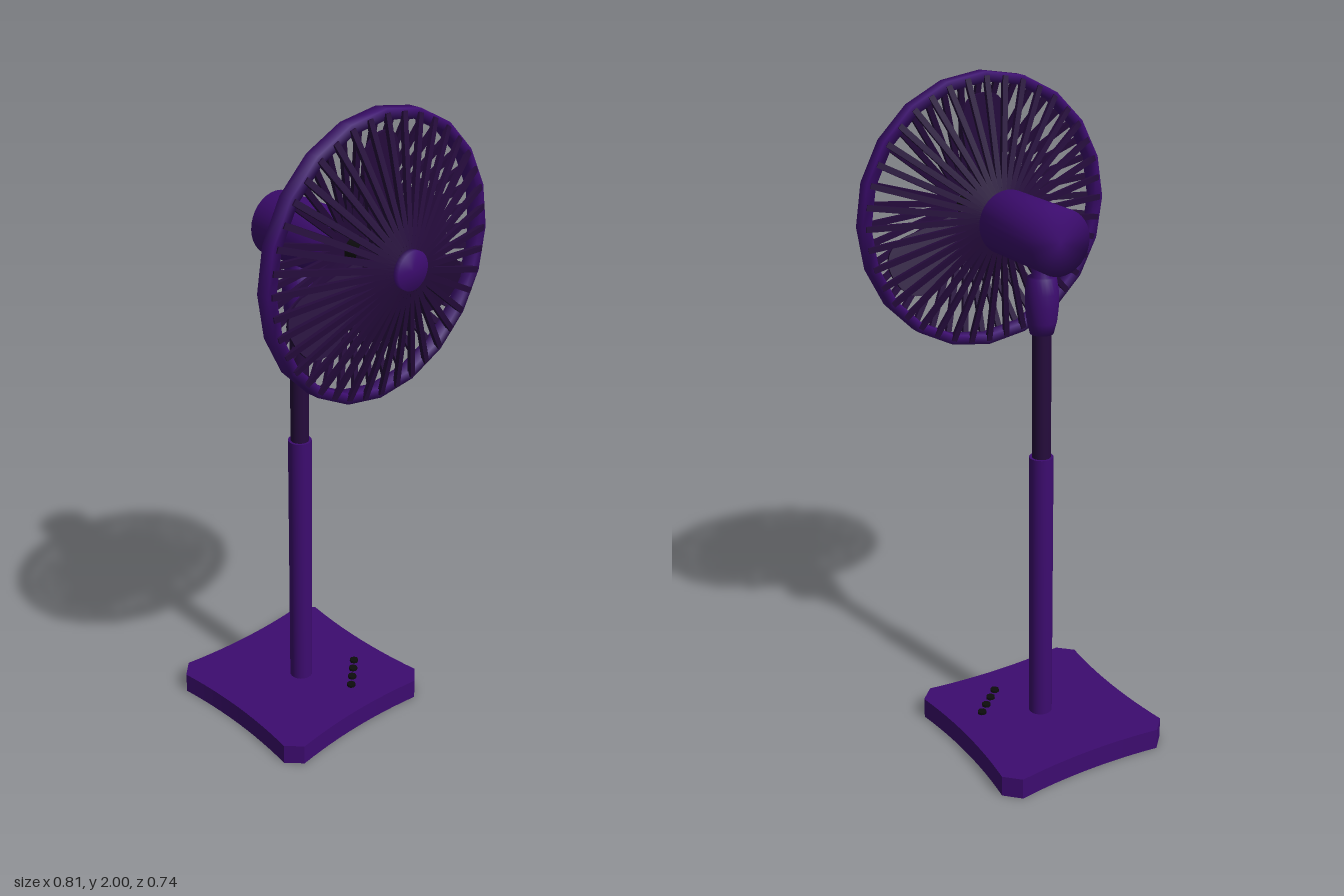
import * as THREE from 'three';
import { mergeGeometries, mergeVertices } from 'three/addons/utils/BufferGeometryUtils.js';

const V = (x, y) => new THREE.Vector2(x, y);

// Shares vertices across edges so the shading runs softly over them
function soften(geometry) {
  geometry.deleteAttribute('normal');
  geometry.deleteAttribute('uv');
  const g = mergeVertices(geometry, 1e-4);
  g.computeVertexNormals();
  return g;
}

export function createModel() {
  const purple = new THREE.MeshStandardMaterial({ color: 0x3d0c70 });
  purple.name = 'purple';
  const darkPurple = new THREE.MeshStandardMaterial({ color: 0x250b3c });
  darkPurple.name = 'darkPurple';
  const black = new THREE.MeshStandardMaterial({ color: 0x0d0d0d });
  black.name = 'black';

  const model = new THREE.Group();
  model.name = 'pedestalFan';
  const add = (name, geometry, material, x, y, z, parent = model) => {
    const mesh = new THREE.Mesh(geometry, material);
    mesh.name = name;
    mesh.position.set(x, y, z);
    parent.add(mesh);
    return mesh;
  };
  // Cylinder along z, between two depths
  const axial = (r, z0, z1) =>
    new THREE.CylinderGeometry(r, r, z1 - z0, 32).rotateX(Math.PI / 2).translate(0, 0, (z0 + z1) / 2);

  const poleZ = -0.078;

  // Base: square with clipped corners and hollowed sides
  const outer = 0.287, corner = 0.242, pull = 0.253;
  const plan = new THREE.Shape();
  plan.moveTo(corner, outer);
  plan.quadraticCurveTo(0, pull, -corner, outer);
  plan.lineTo(-outer, corner);
  plan.quadraticCurveTo(-pull, 0, -outer, -corner);
  plan.lineTo(-corner, -outer);
  plan.quadraticCurveTo(0, -pull, corner, -outer);
  plan.lineTo(outer, -corner);
  plan.quadraticCurveTo(pull, 0, outer, corner);
  plan.closePath();
  const baseGeometry = new THREE.ExtrudeGeometry(plan, { depth: 0.066, bevelEnabled: false, curveSegments: 12 });
  add('base', baseGeometry.rotateX(-Math.PI / 2), purple, 0, 0, -0.081);

  // Row of buttons across the front left corner
  for (let i = 0; i < 4; i++) {
    const button = new THREE.CylinderGeometry(0.014, 0.014, 0.012, 8);
    add('button', button, black, 0.072 + i * 0.0325, 0.068, 0.084 - i * 0.0295);
  }

  // Telescopic pole and neck joint
  add('lowerPole', new THREE.CylinderGeometry(0.036, 0.036, 0.865, 24), purple, 0, 0.4975, poleZ);
  add('upperPole', new THREE.CylinderGeometry(0.028, 0.028, 0.4, 24), darkPurple, 0, 1.13, poleZ);
  const neckProfile = [V(0, 1.31), V(0.034, 1.31), V(0.043, 1.345), V(0.048, 1.39), V(0.048, 1.43),
    V(0.041, 1.475), V(0.03, 1.477), V(0.03, 1.52)];
  add('neck', new THREE.LatheGeometry(neckProfile, 24), purple, 0, 0, poleZ);

  // Head: motor, shaft and cage around one axis
  const head = new THREE.Group();
  head.name = 'head';
  head.position.y = 1.596;
  model.add(head);
  add('motor', soften(axial(0.094, -0.172, 0.106)), purple, 0, -0.005, 0, head);
  add('rearCollar', axial(0.047, 0.1, 0.142), black, 0, 0, 0, head);
  add('shaft', axial(0.034, 0.14, 0.352), black, 0, 0, 0, head);
  add('frontCap', soften(axial(0.055, 0.348, 0.368)), purple, 0, 0, 0, head);

  const rimProfile = [V(0.376, -0.021), V(0.404, -0.021), V(0.404, 0.021), V(0.376, 0.021), V(0.376, -0.021)];
  const rim = soften(new THREE.LatheGeometry(rimProfile, 20).rotateX(Math.PI / 2));
  add('cageRim', rim, purple, 0, 0, 0.239, head);

  // Spokes running from the hub out to the rim
  const spokes = (r0, z0, r1, z1, count = 40) => {
    const parts = [];
    const length = Math.hypot(r1 - r0, z1 - z0);
    for (let i = 0; i < count; i++) {
      parts.push(new THREE.BoxGeometry(length, 0.017, 0.012)
        .rotateY(-Math.atan2(z1 - z0, r1 - r0))
        .translate((r0 + r1) / 2, 0, (z0 + z1) / 2)
        .rotateZ((i / count) * Math.PI * 2));
    }
    return mergeGeometries(parts);
  };
  add('frontSpokes', spokes(0.04, 0.348, 0.392, 0.259), darkPurple, 0, 0, 0, head);
  add('rearSpokes', spokes(0.04, 0.143, 0.392, 0.221), darkPurple, 0, 0, 0, head);

  // Three rounded blades on a hub
  const bladeShape = new THREE.Shape();
  bladeShape.moveTo(-0.035, 0.03);
  bladeShape.lineTo(0.035, 0.03);
  bladeShape.lineTo(0.088, 0.25);
  bladeShape.quadraticCurveTo(0.09, 0.315, 0.045, 0.335);
  bladeShape.quadraticCurveTo(0, 0.35, -0.045, 0.335);
  bladeShape.quadraticCurveTo(-0.09, 0.315, -0.088, 0.25);
  bladeShape.closePath();
  const bladeGeometry = new THREE.ExtrudeGeometry(bladeShape, { depth: 0.01, bevelEnabled: false, curveSegments: 6 });
  bladeGeometry.translate(0, 0, -0.005).rotateY(0.25);
  add('bladeHub', axial(0.06, 0.215, 0.265), darkPurple, 0, 0, 0, head);
  for (let i = 0; i < 3; i++) {
    add('blade', bladeGeometry, darkPurple, 0, 0, 0.24, head).rotation.z = (i * Math.PI * 2) / 3;
  }

  return model;
}
